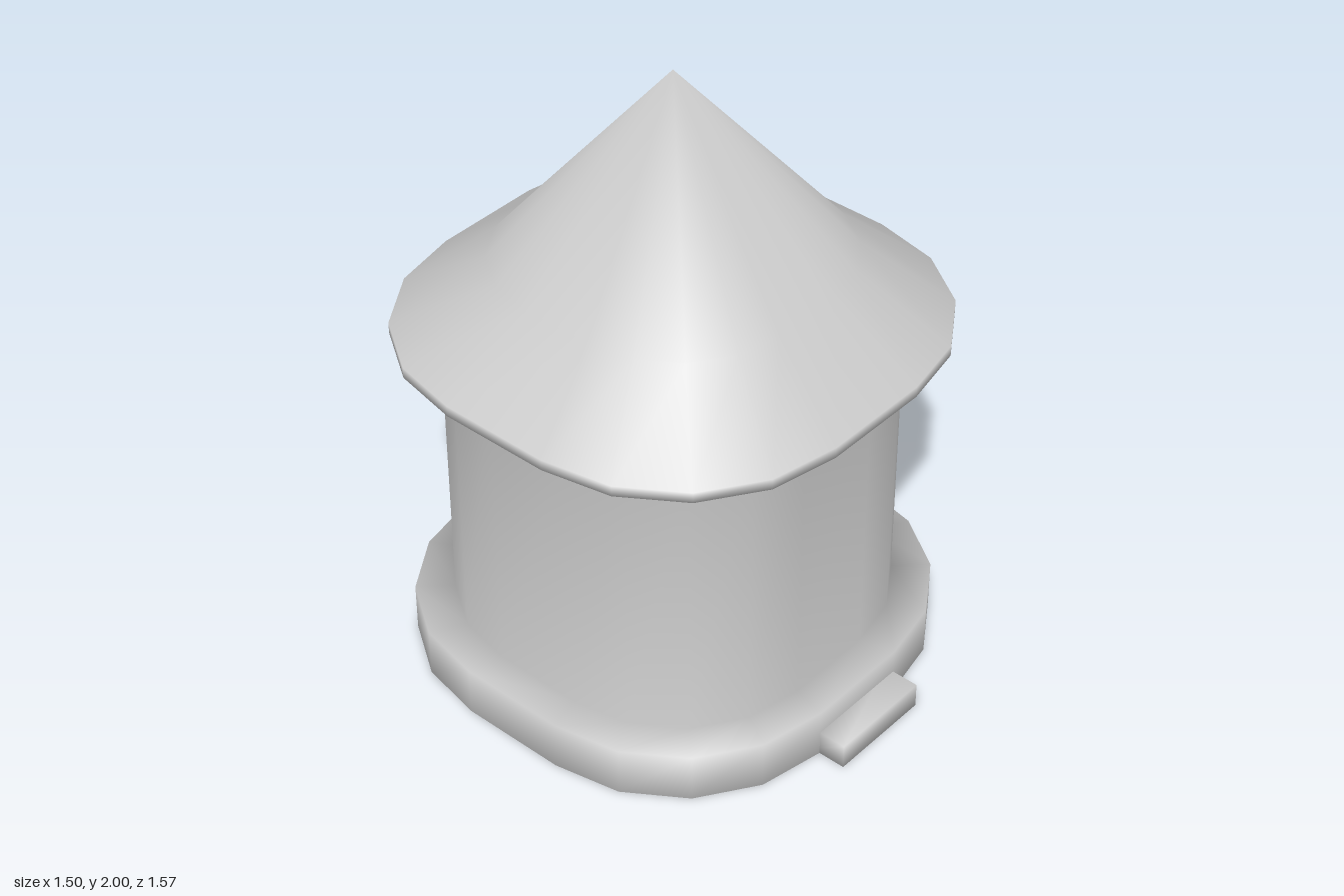
import * as THREE from 'three';
import { mergeVertices } from 'three/addons/utils/BufferGeometryUtils.js';

const CENTER_Z = -0.035;
const CORNER_STEPS = 4;

// Rounded-square outline with half width 1: flat sides joined by quarter arcs
function outline() {
  const flat = 0.24, radius = 1 - flat, points = [];
  for (let corner = 0; corner < 4; corner++) {
    const middle = (corner + 0.5) * Math.PI / 2;
    const cx = Math.sign(Math.cos(middle)) * flat;
    const cz = Math.sign(Math.sin(middle)) * flat;
    for (let i = 0; i <= CORNER_STEPS; i++) {
      const a = (corner + i / CORNER_STEPS) * Math.PI / 2;
      points.push([cx + radius * Math.cos(a), cz + radius * Math.sin(a)]);
    }
  }
  return points;
}

// Share vertices so the normals blend across every edge
function smooth(geometry) {
  geometry.deleteAttribute('normal');
  geometry.deleteAttribute('uv');
  const welded = mergeVertices(geometry, 1e-4);
  welded.computeVertexNormals();
  return welded;
}

// Sweep the outline up a profile of [half width, height] pairs
function loft(profile) {
  const ring = outline(), n = ring.length, positions = [], index = [];
  for (const [w, y] of profile) {
    for (const [x, z] of ring) positions.push(x * w, y, z * w);
  }
  for (let r = 0; r < profile.length - 1; r++) {
    for (let i = 0; i < n; i++) {
      const a = r * n + i, b = r * n + (i + 1) % n;
      const c = a + n, d = b + n;
      if (profile[r][0] > 0) index.push(a, c, b);
      if (profile[r + 1][0] > 0) index.push(b, c, d);
    }
  }
  const geometry = new THREE.BufferGeometry();
  geometry.setAttribute('position', new THREE.Float32BufferAttribute(positions, 3));
  geometry.setIndex(index);
  return smooth(geometry);
}

export function createModel() {
  const group = new THREE.Group();
  group.name = 'hut';
  const material = new THREE.MeshStandardMaterial({ color: 0xcccccc });

  // Plinth, wall, eaves and pointed roof as one continuous skin
  const tower = new THREE.Mesh(loft([
    [0, 0], [0.66, 0], [0.73, 0],     // underside
    [0.73, 0.163],                    // plinth
    [0.617, 0.163], [0.617, 1.145],   // wall
    [0.75, 1.145], [0.75, 1.18],      // eaves
    [0.49, 1.4], [0, 2],              // flared roof
  ]), material);
  tower.name = 'plinthWallAndRoof';
  tower.position.z = CENTER_Z;
  group.add(tower);

  // Doorstep at the front of the plinth
  const step = new THREE.Mesh(smooth(new THREE.BoxGeometry(0.35, 0.083, 0.12)), material);
  step.name = 'doorstep';
  step.position.set(0, 0.0415, 0.725);
  group.add(step);

  return group;
}
